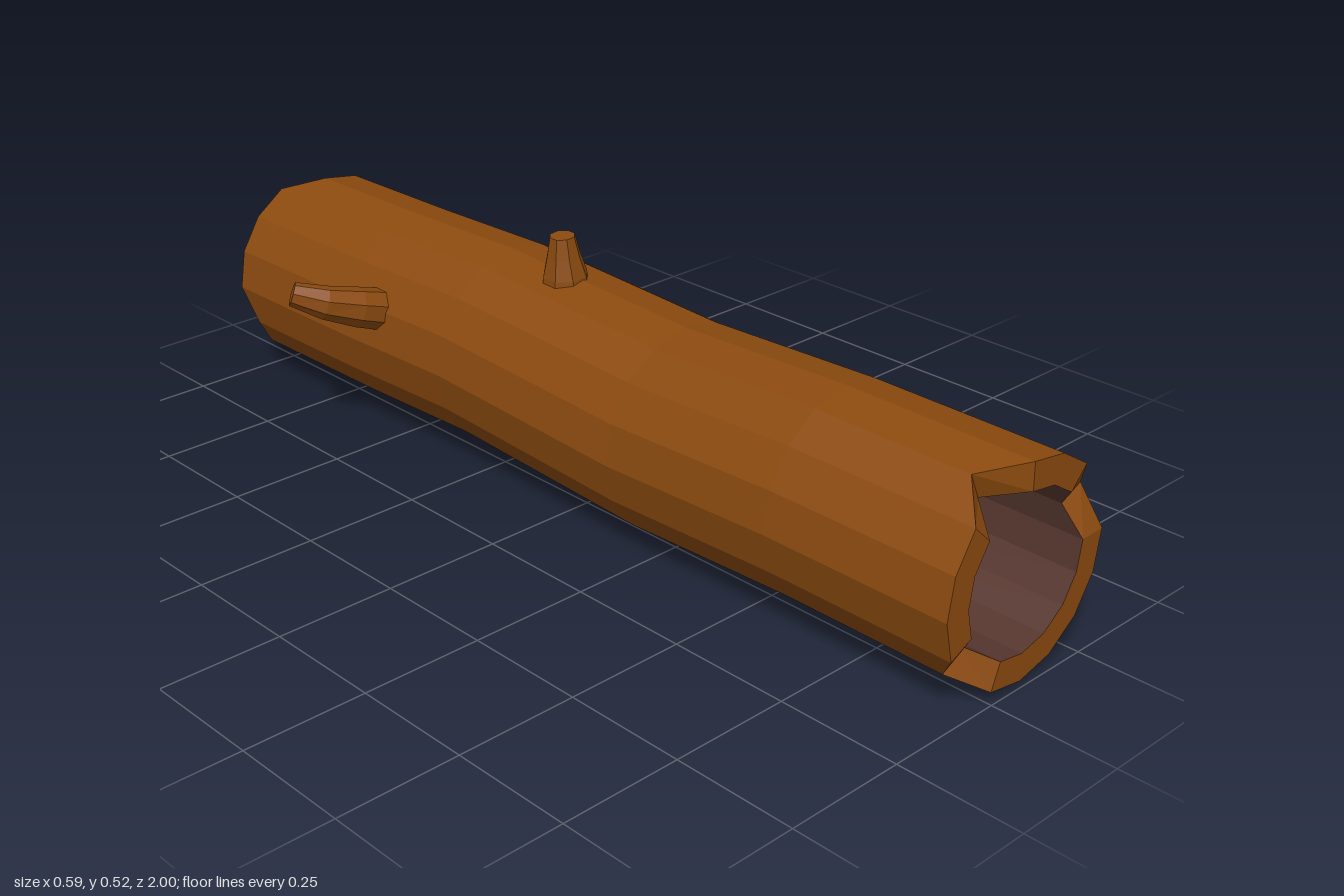
import * as THREE from 'three';

const bark = new THREE.MeshStandardMaterial({ color: 0x8b4a0f });
bark.name = 'bark brown';
const hollow = new THREE.MeshStandardMaterial({ color: 0x56362e });
hollow.name = 'dark hollow wood';

// Faceted skin over a sequence of closed rings of equal length
function loft(rings) {
  const pos = [];
  const add = (...pts) => pts.forEach((p) => pos.push(p.x, p.y, p.z));
  for (let k = 0; k < rings.length - 1; k++) {
    const r0 = rings[k], r1 = rings[k + 1], n = r0.length;
    for (let i = 0; i < n; i++) {
      const j = (i + 1) % n;
      add(r0[i], r1[i], r1[j]);
      add(r0[i], r1[j], r0[j]);
    }
  }
  const geo = new THREE.BufferGeometry();
  geo.setAttribute('position', new THREE.Float32BufferAttribute(pos, 3));
  geo.computeVertexNormals();
  return geo;
}

function part(name, geo, material) {
  const mesh = new THREE.Mesh(geo, material);
  mesh.name = name;
  return mesh;
}

// Trunk ring: zs is one depth or a list of depths, one per corner
const SIDES = 16;
function trunkRing(radius, zs, dx = 0, dy = 0) {
  return Array.from({ length: SIDES }, (_, i) => {
    const a = THREE.MathUtils.degToRad(2.5 + i * 360 / SIDES);
    return new THREE.Vector3(
      0.068 + dx + radius * Math.cos(a),
      0.228 + dy + radius * Math.sin(a),
      Array.isArray(zs) ? zs[i] : zs);
  });
}

// Tapered branch along a path of [x, y, z, radius], capped at the tip
function branch(name, path, reference) {
  const centres = path.map(([x, y, z]) => new THREE.Vector3(x, y, z));
  const rings = centres.map((c, k) => {
    const d = centres[Math.min(k + 1, centres.length - 1)].clone()
      .sub(centres[Math.max(k - 1, 0)]).normalize();
    const u = new THREE.Vector3().crossVectors(d, reference).normalize();
    const v = new THREE.Vector3().crossVectors(u, d);
    return Array.from({ length: 8 }, (_, i) => {
      const a = (i + 0.5) * Math.PI / 4;
      return c.clone()
        .addScaledVector(u, path[k][3] * Math.cos(a))
        .addScaledVector(v, path[k][3] * Math.sin(a));
    });
  });
  const tip = centres[centres.length - 1];
  rings.push(rings[0].map(() => tip.clone()));
  return part(name, loft(rings), bark);
}

export function createModel() {
  const group = new THREE.Group();
  group.name = 'hollowLog';

  // Broken ends: depth of each corner, counter-clockwise from the +x side
  const frontEnd = Array(SIDES).fill(1);
  frontEnd[1] = 0.96;
  frontEnd[5] = 0.935;
  frontEnd[10] = 0.95;
  const backEnd = Array(SIDES).fill(-0.975);
  backEnd[3] = backEnd[4] = -0.92;
  backEnd[9] = -0.945;
  backEnd[14] = -0.96;
  backEnd[11] = backEnd[12] = -1;

  // Gentle bends along the trunk: z, x shift, y shift
  const bends = [[0.6, 0, 0.002], [0.2, 0.006, -0.015], [-0.3, 0.012, 0.003], [-0.6, 0.003, 0.001]];
  const tube = (r) => [
    trunkRing(r, frontEnd),
    ...bends.map(([z, dx, dy]) => trunkRing(r, z, dx, dy)),
    trunkRing(r, backEnd),
  ];
  const outer = tube(0.213), inner = tube(0.157);

  group.add(part('trunkBark', loft(outer), bark));
  group.add(part('frontRim', loft([inner[0], outer[0]]), bark));
  group.add(part('backRim', loft([outer[5], inner[5]]), bark));
  group.add(part('trunkHollow', loft(inner.slice().reverse()), hollow));

  // Branch stubs
  group.add(branch('topStub', [
    [0.063, 0.405, -0.13, 0.05], [0.061, 0.44, -0.13, 0.046],
    [0.057, 0.48, -0.13, 0.035], [0.054, 0.522, -0.13, 0.026],
  ], new THREE.Vector3(0, 0, 1)));
  group.add(branch('sideBranch', [
    [-0.075, 0.285, -0.51, 0.046], [-0.165, 0.314, -0.52, 0.042],
    [-0.23, 0.336, -0.54, 0.035], [-0.283, 0.358, -0.578, 0.025],
  ], new THREE.Vector3(0, 1, 0)));

  return group;
}
